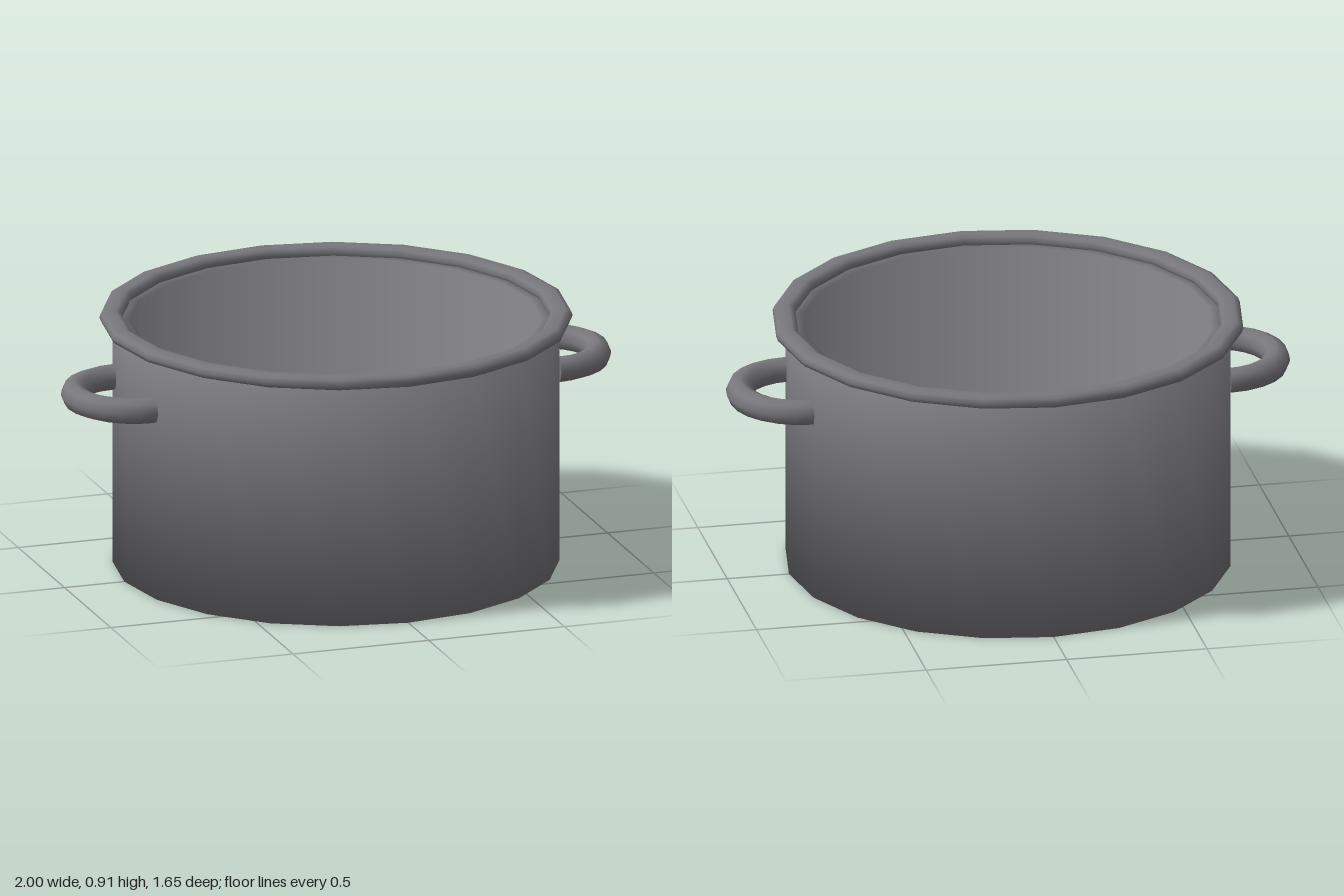
import * as THREE from 'three';

const SIDES = 20;

export function createModel() {
  const model = new THREE.Group();
  model.name = 'cookingPot';
  const material = new THREE.MeshStandardMaterial({ color: 0x78777c });

  const add = (name, geometry, parent = model) => {
    const mesh = new THREE.Mesh(geometry, material);
    mesh.name = name;
    parent.add(mesh);
    return mesh;
  };

  // Pot shell: base, outer wall, ledge, inner wall and floor.
  // Each row is radius, height, then the outward and upward lean of its normal.
  const shell = [
    [0, 0, 0, -1], [0.78, 0, 1, -1], [0.78, 0.88, 1, 1],
    [0.717, 0.88, -1, 1], [0.717, 0.06, -1, 1], [0, 0.06, 0, 1],
  ];
  const body = new THREE.LatheGeometry(shell.map(([r, y]) => new THREE.Vector2(r, y)), SIDES);
  const normal = new THREE.Vector3();
  for (let i = 0; i < body.attributes.normal.count; i++) {
    const [, , out, up] = shell[i % shell.length];
    const a = (Math.floor(i / shell.length) / SIDES) * Math.PI * 2;
    normal.set(out * Math.sin(a), up, out * Math.cos(a)).normalize();
    body.attributes.normal.setXYZ(i, normal.x, normal.y, normal.z);
  }
  add('potBody', body);

  // Rolled rim: pill-shaped section swept around the top
  const section = [];
  for (let i = 0; i < 10; i++) {
    const inner = i > 4;
    const a = -Math.PI / 2 + ((inner ? i - 1 : i) / 4) * Math.PI;
    const centre = inner ? 0.769 : 0.802;
    section.push(new THREE.Vector2(centre + 0.0235 * Math.cos(a), 0.891 + 0.0235 * Math.sin(a)));
  }
  section.push(section[0].clone());
  add('rim', new THREE.LatheGeometry(section, SIDES));

  // Side handles: horizontal half rings with closed ends
  const ringRadius = 0.21, tubeRadius = 0.047, endX = 0.743, handleY = 0.683;
  for (const side of [1, -1]) {
    const handle = new THREE.Group();
    handle.name = side > 0 ? 'leftHandle' : 'rightHandle';
    const ring = new THREE.TorusGeometry(ringRadius, tubeRadius, 8, 12, Math.PI);
    ring.rotateX(Math.PI / 2).rotateY(Math.PI / 2).translate(endX, handleY, 0);
    add('handleRing', ring, handle);
    for (const end of [1, -1]) {
      const cap = new THREE.CircleGeometry(tubeRadius, 8);
      cap.rotateY(-Math.PI / 2).translate(endX, handleY, end * ringRadius);
      add('handleEnd', cap, handle);
    }
    if (side < 0) handle.rotation.y = Math.PI;
    model.add(handle);
  }

  return model;
}
